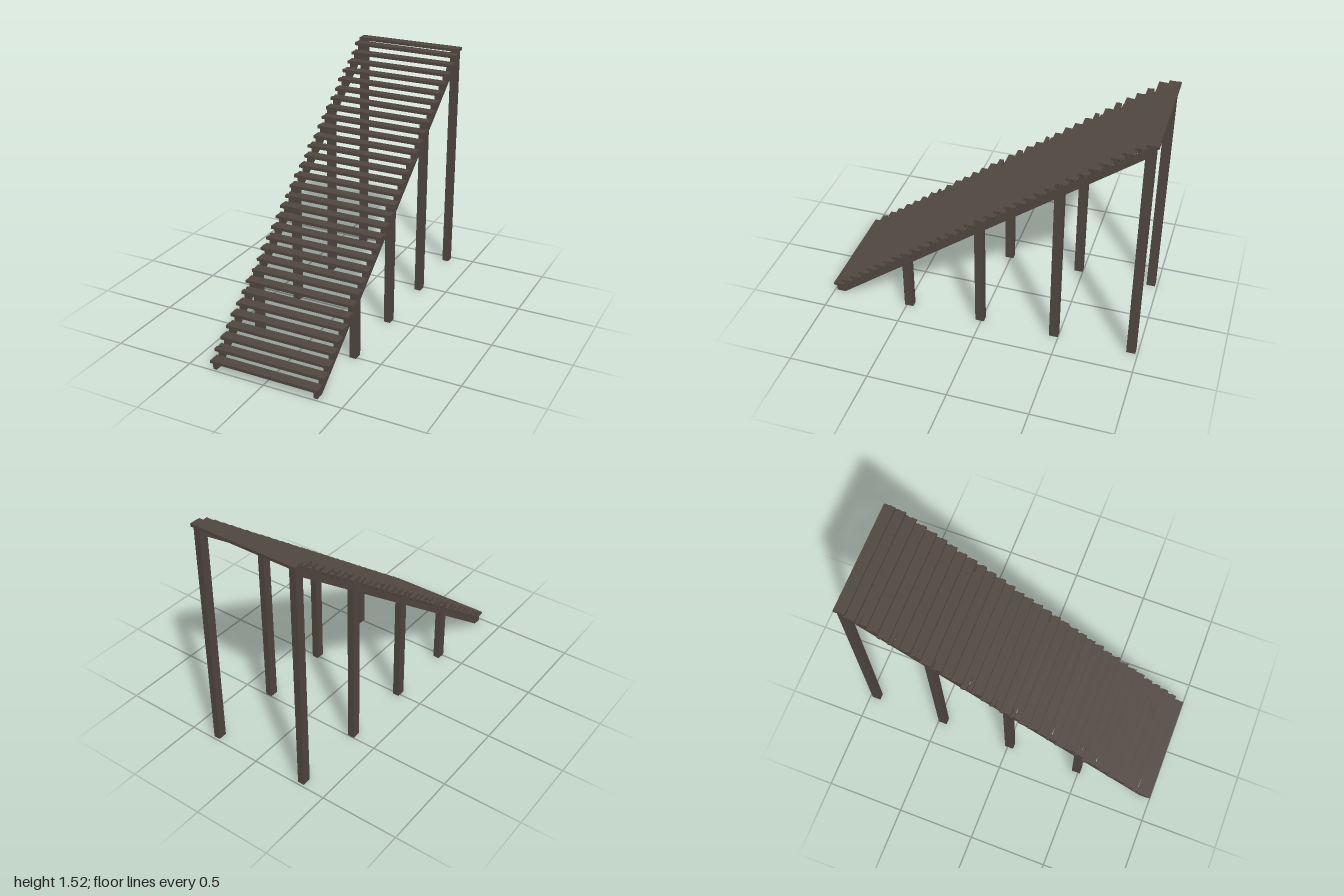
import * as THREE from 'three';

const wood = new THREE.MeshStandardMaterial({ color: 0x50463f });
wood.name = 'weatheredWood';

const STEPS = 33, GO = 0.0603, THICK = 0.018;
const treadZ = (i) => 0.965 - i * GO;
const treadY = (i) => Math.min(0.046 + i * 0.0461, 1.5); // underside of tread

let seed = 7;
const rand = () => (seed = (seed * 16807) % 2147483647) / 2147483647;
const jitter = (a) => (rand() * 2 - 1) * a;

// Plank outline with ragged ends and an optional crack in the right-hand end
function plankGeometry(halfDepth, cracked) {
  const left = 0.353 + jitter(0.004), right = -0.359 + jitter(0.005);
  const pts = [[right, -halfDepth], [left, -halfDepth]];
  for (let k = 1; k < 6; k++) pts.push([left + jitter(0.004), -halfDepth + (k * halfDepth) / 3]);
  pts.push([left, halfDepth], [right, halfDepth]);
  const c = jitter(0.01);
  pts.push([right + jitter(0.004), halfDepth * 0.6]);
  if (cracked) pts.push([right + 0.004, c + 0.005], [right + 0.02, c + 0.004], [right + 0.07 + rand() * 0.05, c], [right + 0.02, c - 0.003]);
  pts.push([right + jitter(0.004), c - 0.006], [right + jitter(0.004), -halfDepth * 0.65]);
  const shape = new THREE.Shape(pts.map(([x, y]) => new THREE.Vector2(x, y)));
  return new THREE.ExtrudeGeometry(shape, { depth: THICK, bevelEnabled: false }).rotateX(-Math.PI / 2);
}

// Sawtooth side beam that carries the treads
function stringerGeometry(width) {
  const shape = new THREE.Shape();
  shape.moveTo(0.93, 0);
  shape.lineTo(-0.955, 1.437);
  shape.lineTo(-0.955, treadY(STEPS - 1));
  for (let i = STEPS - 1; i >= 0; i--) {
    const z = treadZ(i) + 0.02;
    shape.lineTo(z, treadY(i));
    shape.lineTo(z, i > 0 ? treadY(i - 1) : 0);
  }
  return new THREE.ExtrudeGeometry(shape, { depth: width, bevelEnabled: false })
    .translate(0, 0, -width / 2)
    .rotateY(-Math.PI / 2);
}

export function createModel() {
  const model = new THREE.Group();
  model.name = 'woodenStairs';
  const add = (parent, geometry, name, x, y, z) => {
    const mesh = new THREE.Mesh(geometry, wood);
    mesh.name = name;
    mesh.position.set(x, y, z);
    parent.add(mesh);
    return mesh;
  };

  // Treads, some split at one end
  const treads = new THREE.Group();
  treads.name = 'treads';
  const cracked = [1, 6, 8, 11, 15, 17, 20, 25, 27, 30];
  for (let i = 0; i < STEPS; i++) {
    const tread = add(treads, plankGeometry(0.035, cracked.includes(i)), 'tread', 0, treadY(i), treadZ(i));
    tread.rotation.z = jitter(0.003);
  }
  model.add(treads);

  // Side beams and the posts below them
  const stringer = stringerGeometry(0.024);
  const posts = [[0.485, 0.42], [0.01, 0.785], [-0.47, 1.15], [-0.957, 1.5]];
  for (const side of [-1, 1]) {
    const label = side > 0 ? 'left' : 'right';
    add(model, stringer, label + 'Stringer', side * 0.33 - 0.003, 0, 0);
    for (const [z, h] of posts) {
      add(model, new THREE.BoxGeometry(0.042, h, 0.056), label + 'Post', side * 0.325 - 0.003, h / 2, z);
    }
  }
  return model;
}
